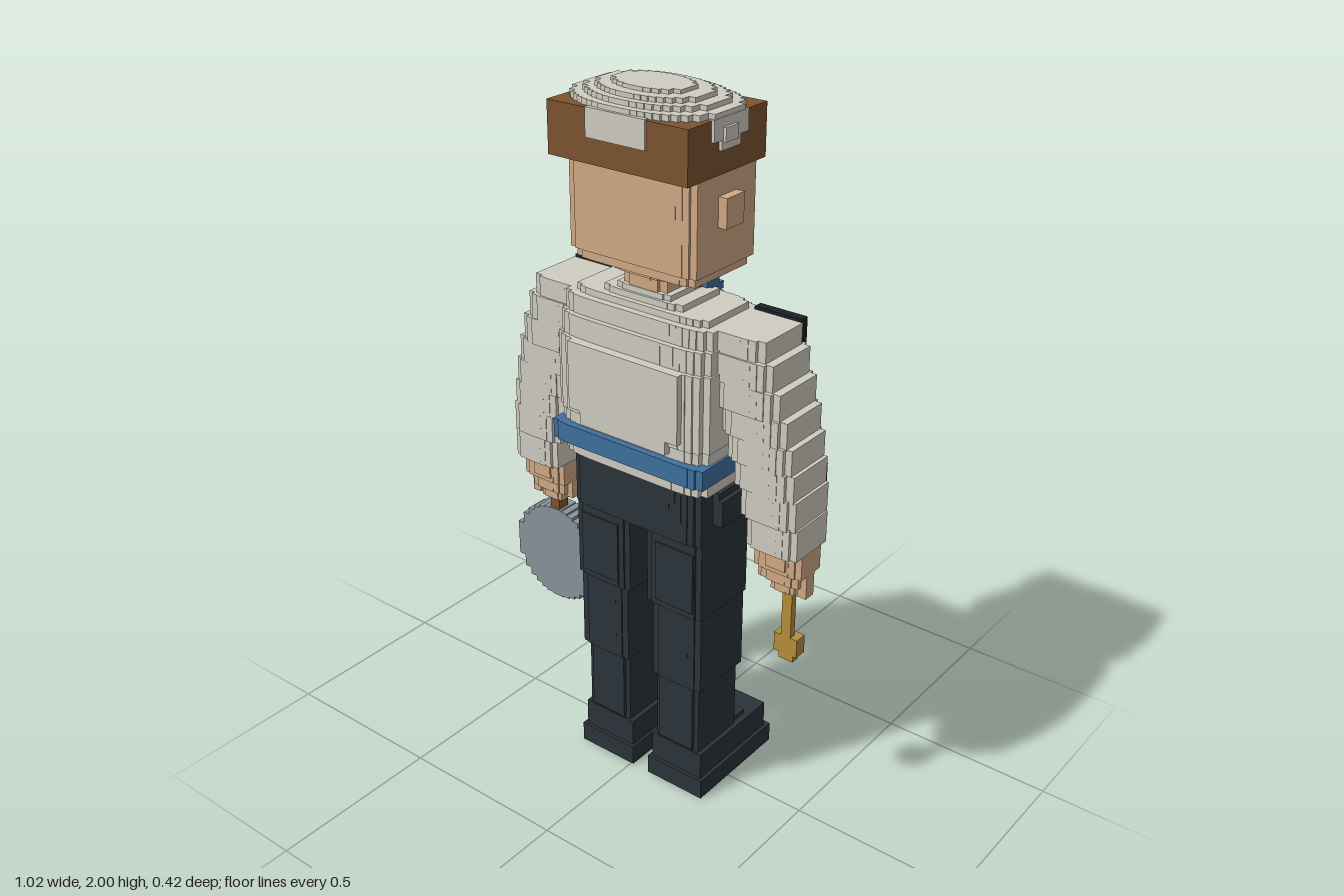
import * as THREE from 'three';
import { mergeGeometries } from 'three/addons/utils/BufferGeometryUtils.js';

const CX = 0.035; // the body's centre line

function material(name, color) {
  const m = new THREE.MeshStandardMaterial({ color });
  m.name = name;
  return m;
}

export function createModel() {
  const root = new THREE.Group();
  root.name = 'cook';
  const cloth = material('offWhite', 0xd0cdc1), skin = material('skin', 0xd2aa85);
  const leather = material('brown', 0x7d5430), ginger = material('ginger', 0x8e5c2c);
  const navy = material('navy', 0x2b333a), black = material('black', 0x1c2024);
  const blue = material('blue', 0x3f70a0), steel = material('steel', 0x87939b);
  const gold = material('gold', 0xb68f3d);

  function add(name, geo, mat) {
    const m = new THREE.Mesh(geo, mat);
    m.name = name;
    root.add(m);
    return m;
  }
  // Box from its minimum and maximum corners
  function boxGeo(x0, x1, y0, y1, z0, z1) {
    return new THREE.BoxGeometry(Math.abs(x1 - x0), y1 - y0, z1 - z0)
      .translate((x0 + x1) / 2, (y0 + y1) / 2, (z0 + z1) / 2);
  }
  const box = (name, mat, ...b) => add(name, boxGeo(...b), mat);
  // Mirrored pair of boxes, x measured from the centre line
  function pair(name, mat, x0, x1, ...rest) {
    for (const s of [-1, 1]) box(name, mat, CX + s * x0, CX + s * x1, ...rest);
  }
  // Stair-stepped superellipse outline; a high power gives a boxy outline
  function steppedPoints(rx, ry, power, step = 0.02) {
    const n = Math.max(3, Math.round(rx / step));
    const q = [];
    for (let k = 0; k < n; k++) {
      const y = ry * Math.pow(1 - Math.pow((k + 0.5) / n, power), 1 / power);
      q.push([rx * k / n, y], [rx * (k + 1) / n, y]);
    }
    q.shift();
    const r = [...q].reverse();
    return [...q.map(([x, y]) => [x, -y]), ...r,
      ...q.map(([x, y]) => [-x, y]), ...r.map(([x, y]) => [-x, -y])]
      .map(([x, y]) => new THREE.Vector2(x, y));
  }
  function slabGeo(x, z, y0, y1, rx, rz, power) {
    const shape = new THREE.Shape(steppedPoints(rx, rz, power));
    return new THREE.ExtrudeGeometry(shape, { depth: y1 - y0, bevelEnabled: false })
      .rotateX(-Math.PI / 2).translate(x, y0, z);
  }
  const slab = (name, mat, ...a) => add(name, slabGeo(...a), mat);

  // Hat: band, domed crown and badges
  box('hatBand', leather, -0.178, 0.245, 1.815, 1.95, -0.1, 0.208);
  slab('hatCrown', cloth, CX, 0.055, 1.94, 1.965, 0.215, 0.15, 2.4);
  slab('hatCrown', cloth, CX, 0.055, 1.96, 1.978, 0.185, 0.13, 2.2);
  slab('hatCrown', cloth, CX, 0.06, 1.975, 1.99, 0.15, 0.105, 2.2);
  slab('hatCrown', cloth, CX, 0.065, 1.985, 2, 0.105, 0.07, 2.2);
  box('rearHatPatch', cloth, -0.055, 0.125, 1.88, 1.953, 0.2, 0.213);
  box('frontHatPatch', cloth, 0.005, 0.065, 1.875, 1.915, -0.106, -0.09);
  pair('sideHatPatch', cloth, 0.2, 0.218, 1.9, 1.953, -0.015, 0.12);
  pair('sideHatPatch', cloth, 0.2, 0.218, 1.875, 1.905, 0.015, 0.09);
  pair('sideHatBadge', cloth, 0.2, 0.226, 1.895, 1.93, 0.035, 0.085);

  // Head and neck
  slab('head', skin, CX, 0.036, 1.57, 1.82, 0.197, 0.124, 12);
  slab('jaw', skin, CX, 0.036, 1.545, 1.575, 0.185, 0.115, 10);
  slab('neck', skin, CX, 0.04, 1.47, 1.55, 0.068, 0.07, 4);
  slab('neckTop', skin, CX, 0.04, 1.53, 1.55, 0.1, 0.09, 4);
  pair('ear', skin, 0.19, 0.222, 1.68, 1.757, 0, 0.07);

  // Face, on the -z side
  box('nose', skin, 0.01, 0.06, 1.67, 1.715, -0.135, -0.08);
  box('noseTip', skin, 0.02, 0.05, 1.665, 1.69, -0.16, -0.12);
  for (let i = 0; i < 6; i++) {
    const x = 0.02 + i * 0.02, y = 1.742 + i * 0.008;
    pair('eyebrow', black, x, x + 0.022, y, y + 0.022, -0.122, -0.085);
  }
  pair('eyeWhite', cloth, 0.04, 0.115, 1.712, 1.742, -0.097, -0.08);
  pair('pupil', black, 0.06, 0.085, 1.71, 1.745, -0.112, -0.08);
  pair('lowerLid', black, 0.04, 0.12, 1.703, 1.712, -0.1, -0.08);
  for (const [x0, x1, y0, y1, z] of [[0, 0.03, 1.645, 1.675, -0.155], [0.025, 0.055, 1.63, 1.67, -0.14],
    [0.05, 0.085, 1.622, 1.655, -0.125], [0.08, 0.108, 1.632, 1.672, -0.118], [0.1, 0.125, 1.655, 1.695, -0.112]])
    pair('moustache', ginger, x0, x1, y0, y1, z, -0.08);

  // Jacket: rows of bottom, top, half width, half depth
  for (const [y0, y1, rx, rz] of [[0.99, 1.04, 0.235, 0.135], [1.03, 1.12, 0.24, 0.14], [1.12, 1.33, 0.245, 0.146],
    [1.33, 1.39, 0.24, 0.135], [1.39, 1.44, 0.235, 0.12], [1.44, 1.458, 0.21, 0.1], [1.458, 1.475, 0.125, 0.085],
    [1.475, 1.49, 0.085, 0.078]])
    slab('jacket', cloth, CX, 0.035, y0, y1, rx, rz, 7);
  box('backPanel', cloth, -0.145, 0.21, 1.14, 1.33, 0.17, 0.197);
  box('backPanelLower', cloth, -0.11, 0.17, 1.1, 1.15, 0.17, 0.195);
  box('chestPanel', cloth, -0.14, 0.21, 1.1, 1.33, -0.122, -0.1);
  slab('belt', blue, CX, 0.037, 1.03, 1.085, 0.247, 0.157, 14);

  // Apron
  box('apron', cloth, -0.18, 0.25, 0.79, 1.035, -0.11, -0.075);
  box('apronPocket', cloth, -0.07, 0.14, 0.84, 0.955, -0.124, -0.1);
  box('apronTrim', blue, -0.18, 0.25, 0.768, 0.79, -0.113, -0.078);

  // Double row of buttons
  for (const y of [1.11, 1.21, 1.305]) {
    pair('button', black, 0.093, 0.128, y - 0.011, y + 0.011, -0.147, -0.11);
    pair('button', black, 0.1, 0.121, y - 0.019, y + 0.019, -0.147, -0.11);
  }

  // Neckerchief as small cubes
  const rows = ['###.....###', '###.....###', '.###...###.', '.####.####.', '..#######..', '...#####...',
    '...##.##...', '...####....', '....###....', '....##.....', '.....#.....'];
  const cubes = [];
  rows.forEach((row, r) => [...row].forEach((c, i) => {
    if (c !== '#') return;
    const x = CX + (i - 5.5) * 0.02, y = 1.5 - r * 0.02;
    const z = -0.06 - Math.min(r, 5) * 0.018 + (i % 2) * 0.008;
    cubes.push(boxGeo(x, x + 0.02, y - 0.02, y, z, z + 0.05));
  }));
  add('neckerchief', mergeGeometries(cubes), blue);
  pair('neckerchiefWrap', blue, 0.07, 0.09, 1.488, 1.505, -0.06, 0.02);
  box('neckerchiefKnot', blue, 0.015, 0.055, 1.4, 1.43, -0.162, -0.1);
  box('looseKnotEnd', blue, 0.075, 0.09, 1.458, 1.474, -0.172, -0.155);

  // Sleeves: bottom, top, inner x, outer x, half depth
  const sleeve = [[1.38, 1.44, 0.19, 0.368, 0.09], [1.31, 1.385, 0.2, 0.392, 0.095], [1.24, 1.315, 0.22, 0.415, 0.095],
    [1.17, 1.245, 0.24, 0.436, 0.09], [1.1, 1.175, 0.262, 0.452, 0.088], [1.03, 1.105, 0.285, 0.462, 0.086],
    [0.95, 1.035, 0.305, 0.47, 0.084], [0.865, 0.955, 0.322, 0.475, 0.078]];
  for (const s of [-1, 1]) {
    for (const [y0, y1, a, b, rz] of sleeve)
      slab('sleeve', cloth, CX + s * (a + b) / 2, 0.025, y0, y1, (b - a) / 2, rz, 5);
    // Hand and fingers
    slab('palm', skin, CX + s * 0.4, 0.02, 0.795, 0.87, 0.073, 0.05, 5);
    slab('knuckles', skin, CX + s * 0.398, 0.02, 0.755, 0.8, 0.058, 0.035, 4);
    slab('fingers', skin, CX + s * 0.4, 0.018, 0.722, 0.76, 0.036, 0.022, 4);
  }
  pair('thumb', skin, 0.322, 0.345, 0.745, 0.8, 0, 0.035);
  pair('little finger', skin, 0.445, 0.472, 0.725, 0.8, 0, 0.035);
  pair('handBack', skin, 0.37, 0.43, 0.81, 0.85, 0.06, 0.076);

  // Padded sleeve plates with dark backing
  for (const [x0, x1, y0, y1, z] of [[0.225, 0.365, 1.31, 1.448, -0.078], [0.33, 0.452, 0.935, 1.075, -0.068]]) {
    pair('sleevePlateBacking', black, x0, x1, y0, y1, z, z + 0.026);
    pair('sleevePlate', cloth, x0 + 0.008, x1 - 0.008, y0 + 0.008, y1 - 0.008, z - 0.004, z + 0.02);
  }

  // Trousers
  slab('hips', navy, CX, 0.037, 0.83, 0.995, 0.212, 0.115, 9);
  pair('pocket', navy, 0.2, 0.243, 0.88, 0.955, -0.03, 0.09);
  pair('pocket', navy, 0.2, 0.23, 0.955, 0.975, -0.03, 0.09);
  for (const s of [-1, 1]) {
    for (const [y0, y1, a, b, z, rz] of [[0.6, 0.85, 0.03, 0.212, 0.033, 0.108], [0.36, 0.62, 0.045, 0.208, 0.032, 0.1],
      [0.1, 0.37, 0.05, 0.195, 0.03, 0.09]])
      slab('trouserLeg', navy, CX + s * (a + b) / 2, z, y0, y1, (b - a) / 2, rz, 9);
  }
  pair('calfPanel', navy, 0.065, 0.18, 0.15, 0.4, 0.11, 0.126);
  pair('thighPanel', navy, 0.065, 0.19, 0.62, 0.8, 0.13, 0.146);
  pair('kneePanel', navy, 0.065, 0.18, 0.4, 0.55, -0.078, -0.06);

  // Shoes
  pair('shoeSole', navy, 0.028, 0.218, 0, 0.06, -0.208, 0.132);
  pair('shoeUpper', navy, 0.036, 0.208, 0.055, 0.142, -0.19, 0.122);
  pair('shoeTongue', navy, 0.055, 0.19, 0.14, 0.158, -0.11, -0.05);
  pair('shoeStripe', cloth, 0.07, 0.175, 0.14, 0.148, -0.122, -0.108);

  // Frying pan: steel rim and back, blue inside
  const flat = (shape, z0, z1) => new THREE.ExtrudeGeometry(shape, { depth: z1 - z0, bevelEnabled: false })
    .translate(-0.365, 0.53, z0);
  const rim = new THREE.Shape(steppedPoints(0.149, 0.149, 2));
  rim.holes.push(new THREE.Path(steppedPoints(0.108, 0.108, 2).reverse()));
  add('panRim', flat(rim, -0.042, 0.015), steel);
  add('panBack', flat(new THREE.Shape(steppedPoints(0.149, 0.149, 2)), 0.005, 0.026), steel);
  add('panInside', flat(new THREE.Shape(steppedPoints(0.112, 0.112, 2)), -0.004, 0.004), blue);
  box('panHandle', leather, -0.385, -0.352, 0.655, 0.76, -0.015, 0.022);

  // Wooden spoon
  box('spoonHandle', gold, 0.426, 0.456, 0.56, 0.74, 0, 0.02);
  box('spoonBowl', gold, 0.405, 0.477, 0.52, 0.575, -0.018, 0.02);
  box('spoonTip', gold, 0.42, 0.465, 0.5, 0.525, -0.006, 0.018);

  return root;
}
